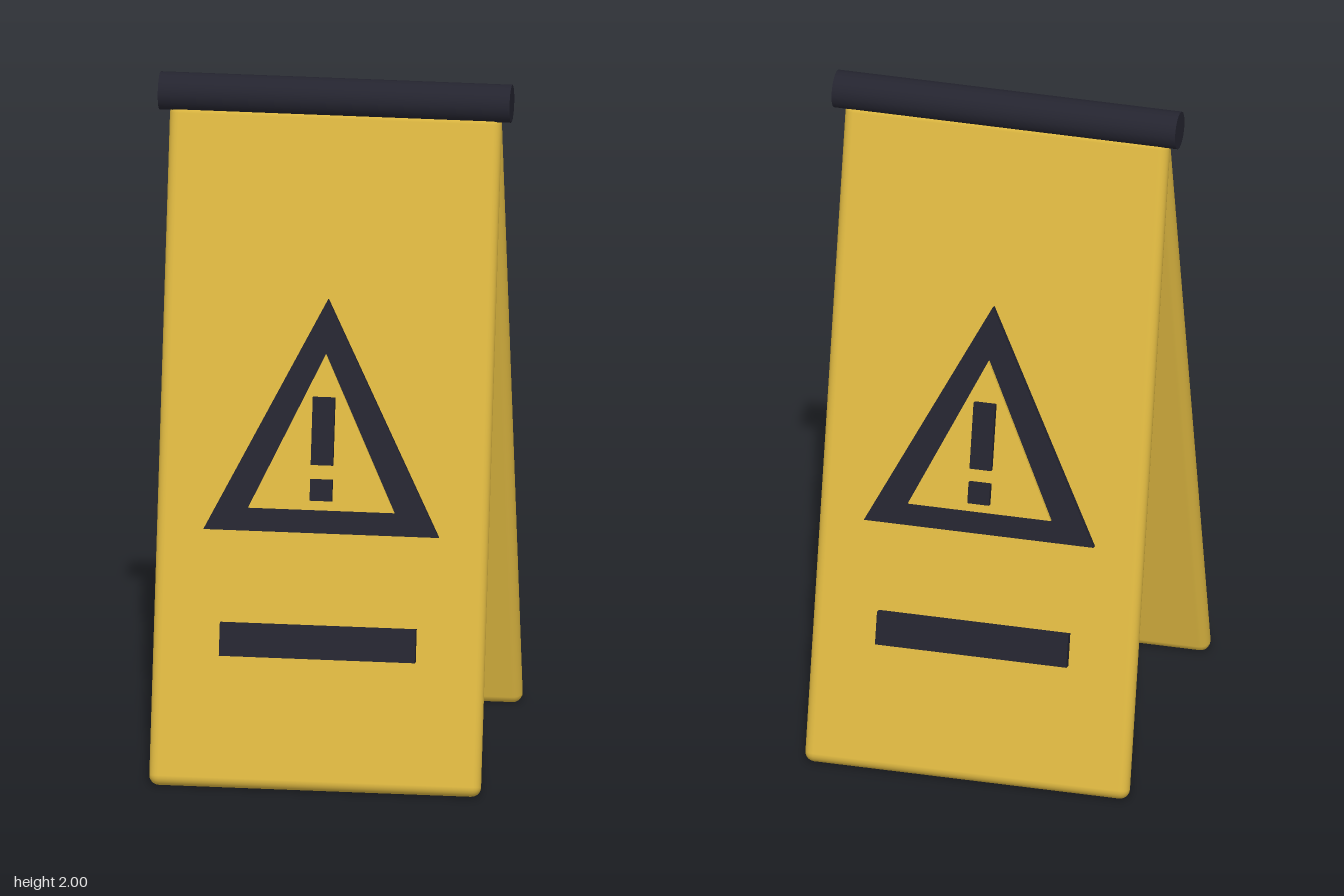
import * as THREE from 'three';
import { RoundedBoxGeometry } from 'three/addons/geometries/RoundedBoxGeometry.js';

const TILT = THREE.MathUtils.degToRad(14);
const HALF = 0.029; // half the panel thickness

export function createModel() {
  const yellow = new THREE.MeshStandardMaterial({ color: 0xdeb841 });
  yellow.name = 'safetyYellow';
  const dark = new THREE.MeshStandardMaterial({ color: 0x24242f });
  dark.name = 'charcoal';

  const add = (parent, name, geometry, material, x = 0, y = 0, z = 0) => {
    const mesh = new THREE.Mesh(geometry, material);
    mesh.name = name;
    mesh.position.set(x, y, z);
    parent.add(mesh);
    return mesh;
  };

  // Raised parts sit on a panel, between depths z0 and z1 above its face
  const triangle = (parent, name, material, halfWidth, bottom, top, z0, z1) => {
    const shape = new THREE.Shape();
    shape.moveTo(-halfWidth, bottom);
    shape.lineTo(halfWidth, bottom);
    shape.lineTo(0, top);
    shape.closePath();
    const geometry = new THREE.ExtrudeGeometry(shape, { depth: z1 - z0, bevelEnabled: false });
    add(parent, name, geometry, material, 0, 0, HALF + z0);
  };
  const block = (parent, name, halfWidth, bottom, top, z0, z1) =>
    add(parent, name, new THREE.BoxGeometry(halfWidth * 2, top - bottom, z1 - z0), dark,
      0, (bottom + top) / 2, HALF + (z0 + z1) / 2);

  // One leaning panel with its warning sign
  const makeSide = (name) => {
    const side = new THREE.Group();
    side.name = name;
    const leaf = new THREE.Group();
    leaf.name = 'leaningLeaf';
    leaf.position.set(0, 0.955, 0.233);
    leaf.rotation.x = -TILT;
    side.add(leaf);
    add(leaf, 'panel', new RoundedBoxGeometry(0.962, 1.966, HALF * 2, 3, 0.0285), yellow);
    triangle(leaf, 'warningTriangle', dark, 0.341, -0.239, 0.436, -0.004, 0.02);
    triangle(leaf, 'triangleInset', yellow, 0.212, -0.172, 0.278, 0.016, 0.032);
    block(leaf, 'exclamationBar', 0.032, -0.041, 0.155, 0.03, 0.051);
    block(leaf, 'exclamationDot', 0.032, -0.144, -0.082, 0.03, 0.051);
    block(leaf, 'stripe', 0.284, -0.602, -0.505, -0.004, 0.025);
    return side;
  };

  const model = new THREE.Group();
  model.name = 'foldingFloorSign';
  const front = makeSide('frontSide');
  const back = makeSide('backSide');
  back.rotation.y = Math.PI;
  model.add(front, back);

  // Hinge rod along the top
  const hinge = add(model, 'hingeRod', new THREE.CylinderGeometry(0.055, 0.055, 1.02, 16), dark, 0, 1.945, 0);
  hinge.rotation.z = Math.PI / 2;
  return model;
}
